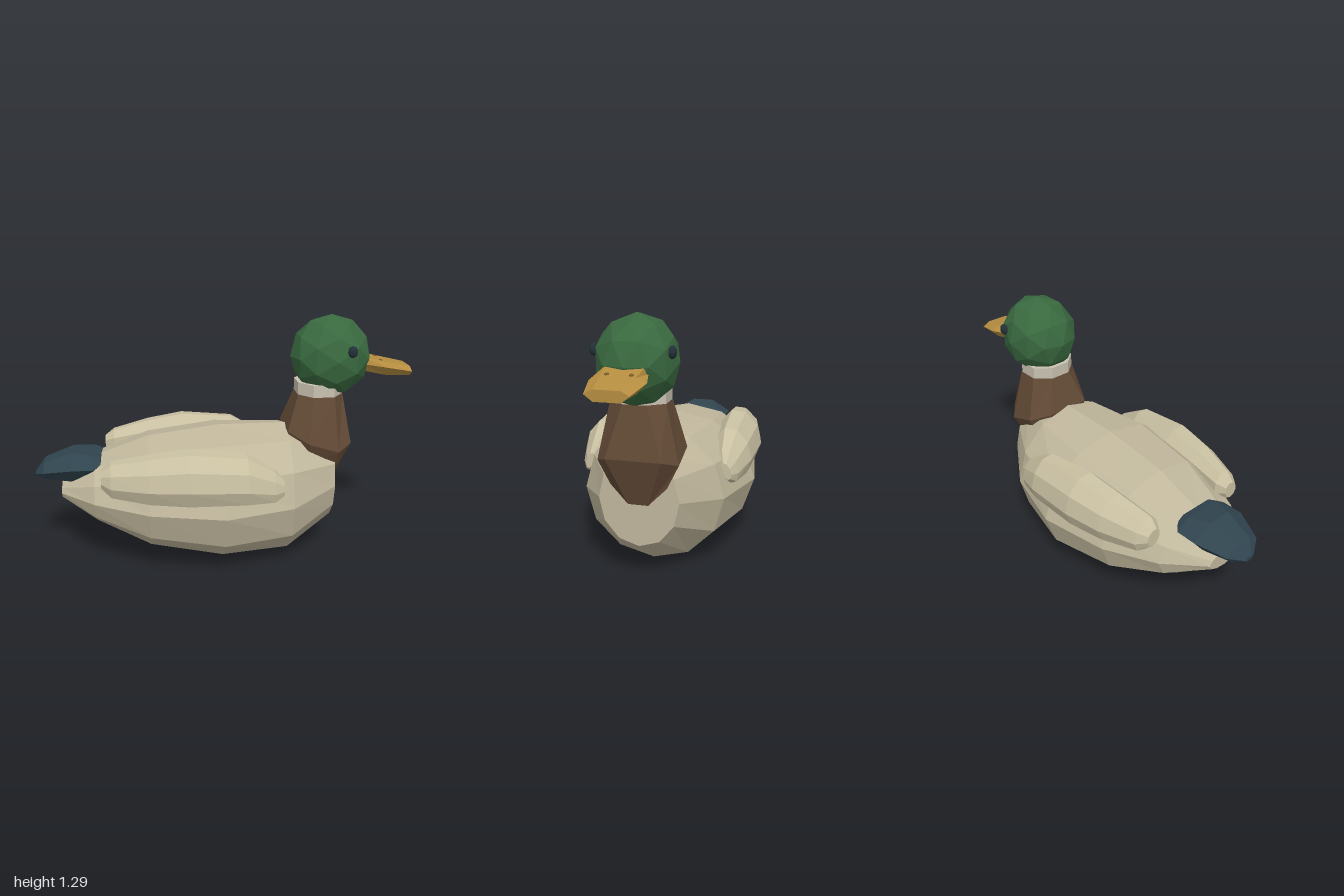
import * as THREE from 'three';

const paint = (name, color) => {
  const m = new THREE.MeshStandardMaterial({ color });
  m.name = name;
  return m;
};

// Skins closed rings of [x, y, z] points, caps both ends, facets every face
function loft(rings) {
  const n = rings[0].length;
  const tris = [];
  for (let r = 0; r < rings.length - 1; r++) {
    const a = rings[r], b = rings[r + 1];
    for (let i = 0; i < n; i++) {
      const j = (i + 1) % n;
      tris.push([a[i], a[j], b[j]], [a[i], b[j], b[i]]);
    }
  }
  const first = rings[0], last = rings[rings.length - 1];
  for (let i = 1; i < n - 1; i++) {
    tris.push([first[0], first[i + 1], first[i]], [last[0], last[i], last[i + 1]]);
  }
  // Turn the faces outward if the rings ran the other way
  const c = new THREE.Vector3();
  rings.flat().forEach(p => c.add(new THREE.Vector3(...p)));
  c.divideScalar(n * rings.length);
  let volume = 0;
  for (const t of tris) {
    const [p, q, s] = t.map(v => new THREE.Vector3(...v).sub(c));
    volume += p.dot(q.cross(s));
  }
  if (volume < 0) tris.forEach(t => t.reverse());
  const g = new THREE.BufferGeometry();
  g.setAttribute('position', new THREE.Float32BufferAttribute(tris.flat(2), 3));
  g.computeVertexNormals();
  return g;
}

// Elliptical section across x, leaning by tilt
function oval(x, cy, cz, ry, rz, sides, tilt = 0) {
  const pts = [];
  for (let i = 0; i < sides; i++) {
    const t = (i / sides) * Math.PI * 2;
    const u = ry * Math.cos(t), v = rz * Math.sin(t);
    pts.push([x, cy + u * Math.cos(tilt) + v * Math.sin(tilt), cz - u * Math.sin(tilt) + v * Math.cos(tilt)]);
  }
  return pts;
}

// Six-sided section across x: flat top, wide middle, flat bottom
const hexSection = ([x, top, wTop, mid, wMid, bottom, wBottom]) => [
  [x, top, wTop], [x, mid, wMid], [x, bottom, wBottom],
  [x, bottom, -wBottom], [x, mid, -wMid], [x, top, -wTop],
];

// Half ring closed by its mirror image in z
const mirrorRing = half => [...half, ...half.map(([x, y, z]) => [x, y, -z]).reverse()];

function ball(rx, ry, rz, detail) {
  const g = new THREE.IcosahedronGeometry(1, detail);
  g.scale(rx, ry, rz);
  g.computeVertexNormals();
  return g;
}

export function createModel() {
  const duck = new THREE.Group();
  duck.name = 'duck';
  const bodyCream = paint('body cream', 0xc0b79c);
  const wingCream = paint('wing cream', 0xc9c0a2);
  const collarWhite = paint('collar pale', 0xc8c1b0);
  const neckBrown = paint('neck brown', 0x634a36);
  const headGreen = paint('head green', 0x39693f);
  const billYellow = paint('bill yellow', 0xb58d40);
  const nostrilBrown = paint('nostril brown', 0x7d6029);
  const tailBlue = paint('tail slate blue', 0x30444f);
  const eyeDark = paint('eye dark', 0x233039);

  const add = (name, geometry, material, x = 0, y = 0, z = 0) => {
    const mesh = new THREE.Mesh(geometry, material);
    mesh.name = name;
    mesh.position.set(x, y, z);
    duck.add(mesh);
    return mesh;
  };

  // Body: twelve-sided hull, cut flat at the chest
  add('body', loft([
    [-0.86, 0.395, 0.05, 0.11],
    [-0.68, 0.395, 0.17, 0.28],
    [-0.40, 0.373, 0.293, 0.40],
    [-0.02, 0.36, 0.355, 0.46],
    [0.34, 0.363, 0.353, 0.365],
    [0.59, 0.41, 0.235, 0.2],
  ].map(([x, cy, ry, rz]) => oval(x, cy, 0, ry, rz, 12))), bodyCream);

  // Wings: leaning pods on each flank
  const wing = [
    [-0.64, 0.535, 0.28, 0.05, 0.04],
    [-0.59, 0.53, 0.285, 0.095, 0.075],
    [-0.40, 0.538, 0.325, 0.13, 0.1],
    [-0.20, 0.548, 0.35, 0.15, 0.11],
    [0.09, 0.535, 0.362, 0.135, 0.09],
    [0.23, 0.495, 0.36, 0.09, 0.05],
    [0.28, 0.485, 0.362, 0.045, 0.022],
  ];
  for (const [name, side] of [['rightWing', 1], ['leftWing', -1]]) {
    const rings = wing.map(([x, cy, cz, ry, rz]) =>
      oval(x, cy, cz, ry, rz, 9, 0.36).map(([px, py, pz]) => [px, py, pz * side]));
    add(name, loft(rings), wingCream);
  }

  // Tail: blunt wedge
  add('tail', loft([
    [-0.65, 0.578, 0.09, 0.55, 0.13, 0.52, 0.09],
    [-0.69, 0.59, 0.1, 0.54, 0.17, 0.49, 0.1],
    [-0.80, 0.605, 0.06, 0.54, 0.17, 0.455, 0.1],
    [-0.95, 0.55, 0.05, 0.51, 0.11, 0.465, 0.07],
    [-1.0, 0.49, 0.015, 0.48, 0.03, 0.467, 0.015],
  ].map(hexSection)), tailBlue);

  // Neck: flares down and tucks into the chest
  add('neck', loft([
    [[0.64, 0.885, 0.06], [0.58, 0.885, 0.137], [0.47, 0.885, 0.137], [0.4, 0.885, 0.06]],
    [[0.68, 0.63, 0.135], [0.6, 0.6, 0.2], [0.44, 0.65, 0.2], [0.34, 0.7, 0.12]],
    [[0.6, 0.39, 0.05], [0.59, 0.48, 0.14], [0.45, 0.5, 0.14], [0.38, 0.52, 0.09]],
  ].map(mirrorRing)), neckBrown);

  // Collar: pale ring between neck and head
  const collar = [[0.637, 0.056], [0.577, 0.133], [0.467, 0.133], [0.4, 0.056]];
  add('collar', loft([0.88, 0.95].map(y => mirrorRing(collar.map(([x, z]) => [x, y, z])))), collarWhite);

  // Head and eyes
  add('head', ball(0.215, 0.218, 0.2, 1), headGreen, 0.578, 1.082, 0);
  for (const [name, side] of [['rightEye', 1], ['leftEye', -1]]) {
    add(name, ball(0.026, 0.031, 0.02, 1), eyeDark, 0.65, 1.135, 0.183 * side);
  }

  // Bill: flat, widest at the middle
  add('bill', loft([
    [0.74, 1.085, 0.09, 1.05, 0.1, 1.01, 0.07],
    [0.86, 1.055, 0.08, 1.035, 0.13, 0.987, 0.085],
    [1.0, 1.026, 0.06, 1.005, 0.1, 0.975, 0.06],
  ].map(hexSection)), billYellow);

  // Nostrils: thin discs lying on the bill slope
  for (const [name, side] of [['rightNostril', 1], ['leftNostril', -1]]) {
    const disc = new THREE.CylinderGeometry(0.011, 0.011, 0.006, 8);
    disc.rotateZ(-0.24);
    add(name, disc, nostrilBrown, 0.84, 1.061, 0.055 * side);
  }

  return duck;
}
